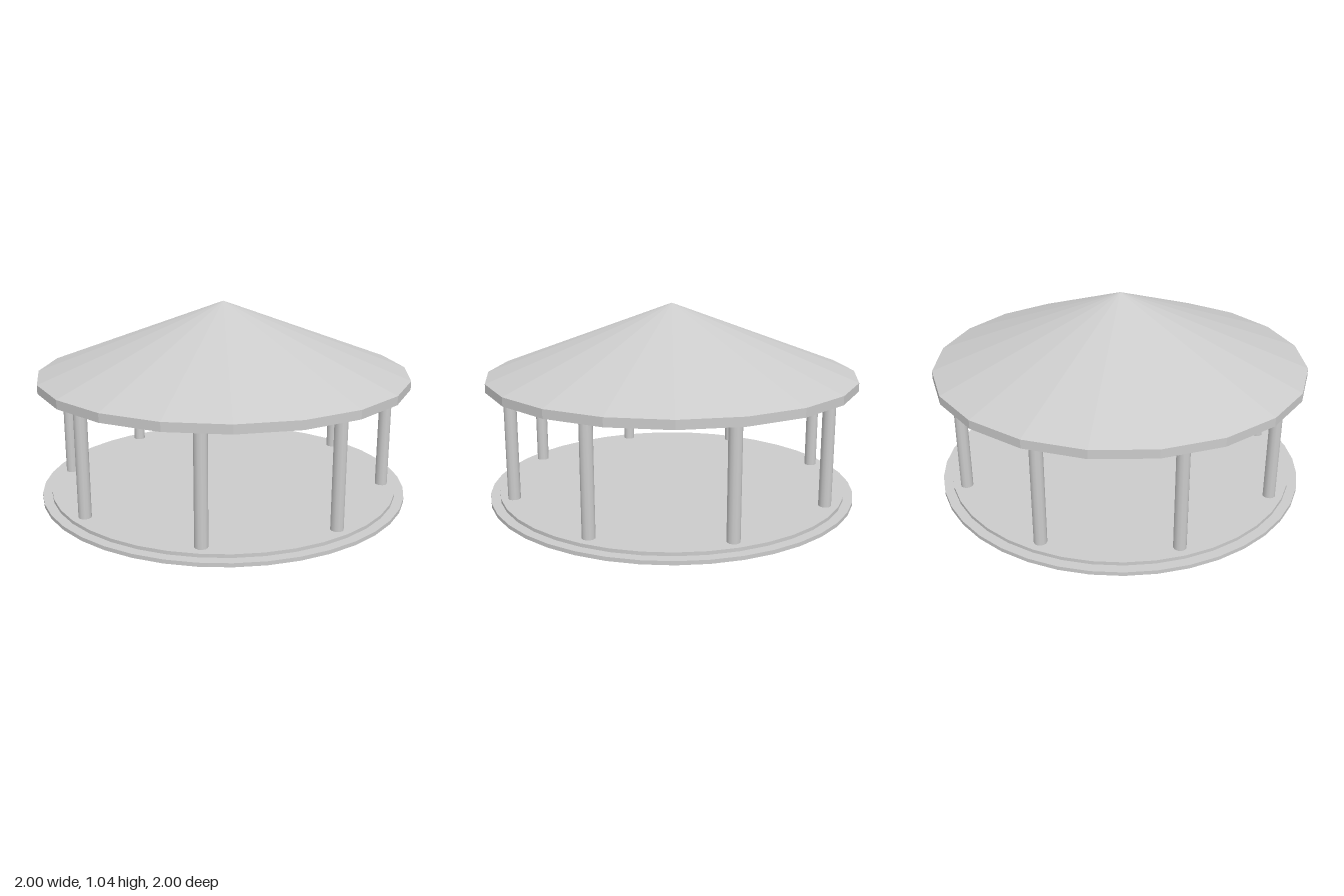
import * as THREE from 'three';

const flat = new THREE.MeshStandardMaterial({ color: 0xcccccc, flatShading: true });
const smooth = new THREE.MeshStandardMaterial({ color: 0xcccccc });

// Upright cylinder standing on y0
function cylinder(name, radius, y0, y1, sides, material) {
  const geometry = new THREE.CylinderGeometry(radius, radius, y1 - y0, sides);
  geometry.translate(0, (y0 + y1) / 2, 0);
  const mesh = new THREE.Mesh(geometry, material);
  mesh.name = name;
  return mesh;
}

export function createModel() {
  const pavilion = new THREE.Group();
  pavilion.name = 'roundPavilion';

  // Two-step round floor
  pavilion.add(cylinder('lowerStep', 1, 0, 0.02, 40, smooth));
  pavilion.add(cylinder('floor', 0.95, 0.02, 0.038, 40, smooth));

  // Ring of eight columns
  const columns = new THREE.Group();
  columns.name = 'columns';
  for (let i = 0; i < 8; i++) {
    const angle = (i / 8) * Math.PI * 2;
    const column = cylinder('column', 0.033, 0.035, 0.625, 12, smooth);
    column.position.set(Math.sin(angle) * 0.88, 0, Math.cos(angle) * 0.88);
    columns.add(column);
  }
  pavilion.add(columns);

  // Faceted roof: recessed ceiling, eave ring, then the cone
  const profile = [
    [0, 0.665], [0.8, 0.665], [0.8, 0.62], [1, 0.62], [1, 0.665], [0, 1.04],
  ].map(([r, y]) => new THREE.Vector2(r, y));
  const roof = new THREE.Mesh(new THREE.LatheGeometry(profile, 20), flat);
  roof.name = 'roof';
  pavilion.add(roof);

  return pavilion;
}
